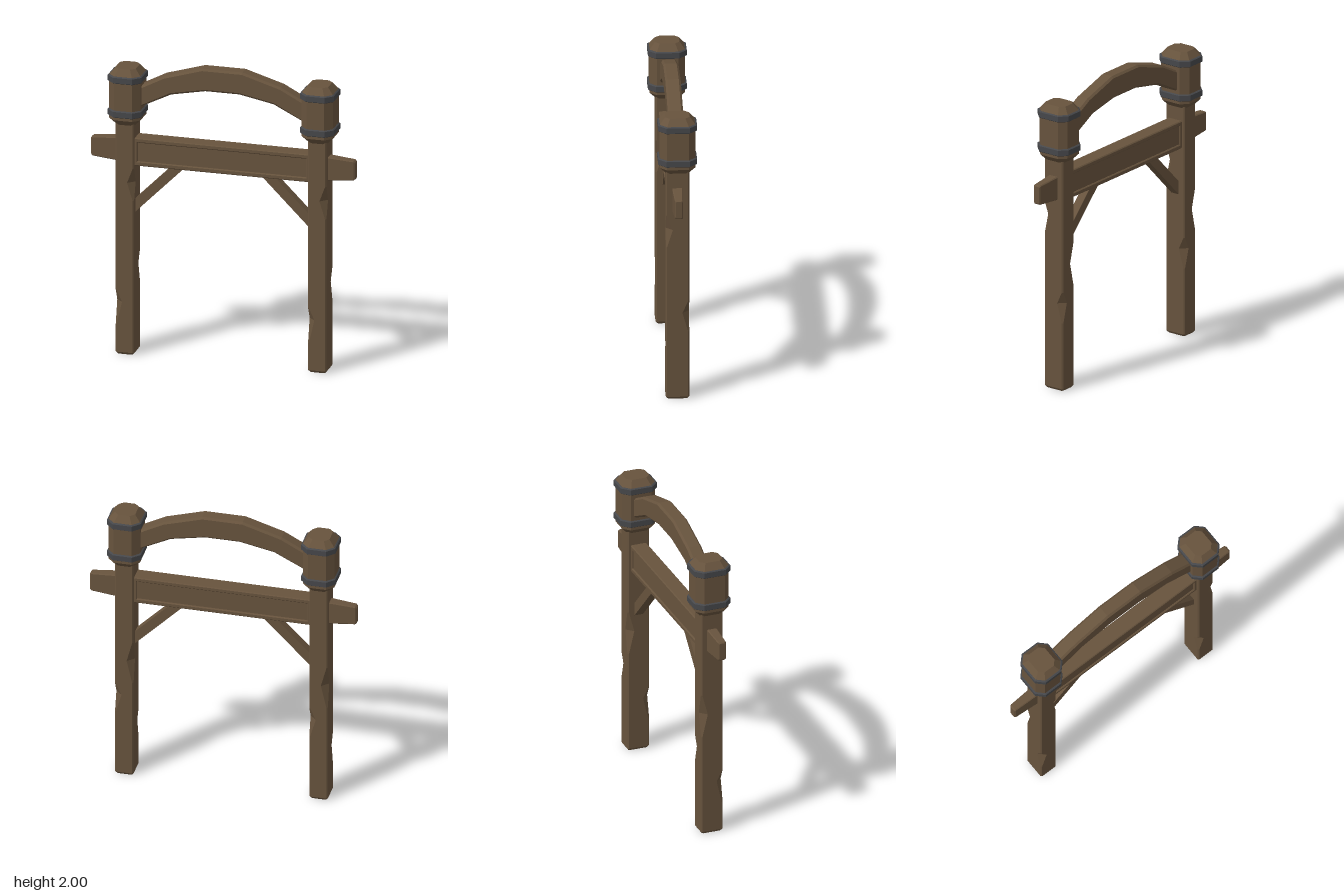
import * as THREE from 'three';

const wood = new THREE.MeshStandardMaterial({ color: 0x67533d });
wood.name = 'wood';
const iron = new THREE.MeshStandardMaterial({ color: 0x46474a });
iron.name = 'iron';

// One chamfered rectangle; c holds the chamfer of each corner (++, +-, --, -+ in x,z)
function ring(y, hx, hz, c) {
  const signs = [[1, 1], [1, -1], [-1, -1], [-1, 1]];
  return signs.flatMap(([sx, sz], i) => {
    const k = Array.isArray(c) ? c[i] : c;
    const onZ = [sx * (hx - k), y, sz * hz];
    const onX = [sx * hx, y, sz * (hz - k)];
    return i % 2 ? [onX, onZ] : [onZ, onX];
  });
}

// Closed, flat shaded skin through a stack of rings
function loft(rings) {
  const pos = [];
  const tri = (...pts) => pts.forEach((p) => pos.push(...p));
  const n = rings[0].length;
  for (let r = 0; r < rings.length - 1; r++) {
    const lo = rings[r], hi = rings[r + 1];
    for (let i = 0; i < n; i++) {
      const j = (i + 1) % n;
      tri(lo[i], lo[j], hi[j]);
      tri(lo[i], hi[j], hi[i]);
    }
  }
  const bottom = rings[0], top = rings[rings.length - 1];
  for (let i = 1; i < n - 1; i++) {
    tri(top[0], top[i], top[i + 1]);
    tri(bottom[0], bottom[i + 1], bottom[i]);
  }
  const g = new THREE.BufferGeometry();
  g.setAttribute('position', new THREE.Float32BufferAttribute(pos, 3));
  g.computeVertexNormals();
  return g;
}

// Bevelled plate of half thickness hz, centred on z = 0
function plate(shape, hz, bevel) {
  const g = new THREE.ExtrudeGeometry(shape, {
    depth: 2 * (hz - bevel), bevelEnabled: bevel > 0, bevelThickness: bevel,
    bevelSize: bevel, bevelOffset: -bevel, bevelSegments: 1,
  });
  return g.translate(0, 0, -(hz - bevel));
}

const polygon = (pts) => new THREE.Shape(pts.map(([x, y]) => new THREE.Vector2(x, y)));
const rect = (x, y0, y1) => [[-x, y0], [x, y0], [x, y1], [-x, y1]];

// Post with a worn notch on each vertical edge
function postGeometry() {
  const hx = 0.062, hz = 0.076, c = 0.008;
  const rings = [ring(0, hx - 0.01, hz - 0.01, c), ring(0.015, hx, hz, c)];
  const notches = [[3, 0.2, 0.36, 0.44], [1, 0.47, 0.6, 0.68], [2, 0.7, 0.86, 1.0], [0, 1.06, 1.18, 1.28]];
  for (const [corner, y0, y1, y2] of notches) {
    const cut = [c, c, c, c];
    cut[corner] = 0.045;
    rings.push(ring(y0, hx, hz, c), ring(y1, hx, hz, cut), ring(y2, hx, hz, c));
  }
  rings.push(ring(1.62, hx, hz, c));
  return loft(rings);
}

export function createModel() {
  const model = new THREE.Group();
  model.name = 'woodenGateway';
  const add = (name, geometry, material, parent = model) => {
    const mesh = new THREE.Mesh(geometry, material);
    mesh.name = name;
    parent.add(mesh);
    return mesh;
  };

  const post = postGeometry();
  const head = loft([
    ring(1.575, 0.065, 0.078, 0.025), ring(1.615, 0.105, 0.115, 0.045),
    ring(1.915, 0.105, 0.115, 0.045), ring(1.96, 0.068, 0.08, 0.03),
  ]);
  const band = loft([
    ring(-0.024, 0.106, 0.117, 0.045), ring(-0.018, 0.114, 0.126, 0.05),
    ring(0.018, 0.114, 0.126, 0.05), ring(0.024, 0.106, 0.117, 0.045),
  ]);
  const tenon = loft([
    ring(0.6, 0.089, 0.04, 0.006), ring(0.88, 0.066, 0.027, 0.006), ring(0.89, 0.058, 0.02, 0.006),
  ]);
  const brace = plate(polygon([[0.6, 0.96], [0.6, 1.05], [0.35, 1.3], [0.26, 1.3]]), 0.03, 0);

  for (const side of [-1, 1]) {
    const name = side > 0 ? 'left' : 'right';

    // Post with its banded head
    const pillar = new THREE.Group();
    pillar.name = name + 'Pillar';
    pillar.position.x = side * 0.648;
    model.add(pillar);
    add('post', post, wood, pillar);
    add('postHead', head, wood, pillar);
    add('lowerBand', band, iron, pillar).position.y = 1.658;
    add('upperBand', band, iron, pillar).position.y = 1.892;

    // Beam end that passes through the post
    const end = add(name + 'BeamEnd', tenon, wood);
    end.rotation.z = -side * Math.PI / 2;
    end.position.y = 1.392;

    // Diagonal brace under the beam
    add(name + 'Brace', brace, wood).rotation.y = side > 0 ? 0 : Math.PI;
  }

  // Crossbeam: raised frame around a recessed panel
  const frame = polygon(rect(0.6, 1.295, 1.485));
  frame.holes.push(new THREE.Path(rect(0.568, 1.326, 1.454).map(([x, y]) => new THREE.Vector2(x, y))));
  add('beamFrame', plate(frame, 0.055, 0.006), wood);
  add('beamPanel', new THREE.BoxGeometry(1.16, 0.15, 0.09).translate(0, 1.39, 0), wood);

  // Faceted arch between the heads
  const outer = [[0.57, 1.83], [0.395, 1.922], [0.135, 2.0]];
  const inner = [[0.57, 1.69], [0.345, 1.802], [0.115, 1.847]];
  const mirror = (pts) => pts.map(([x, y]) => [-x, y]).reverse();
  add('arch', plate(polygon([...outer, ...mirror(outer), ...mirror(inner).reverse(), ...inner.slice().reverse()]), 0.05, 0.013), wood);

  return model;
}
